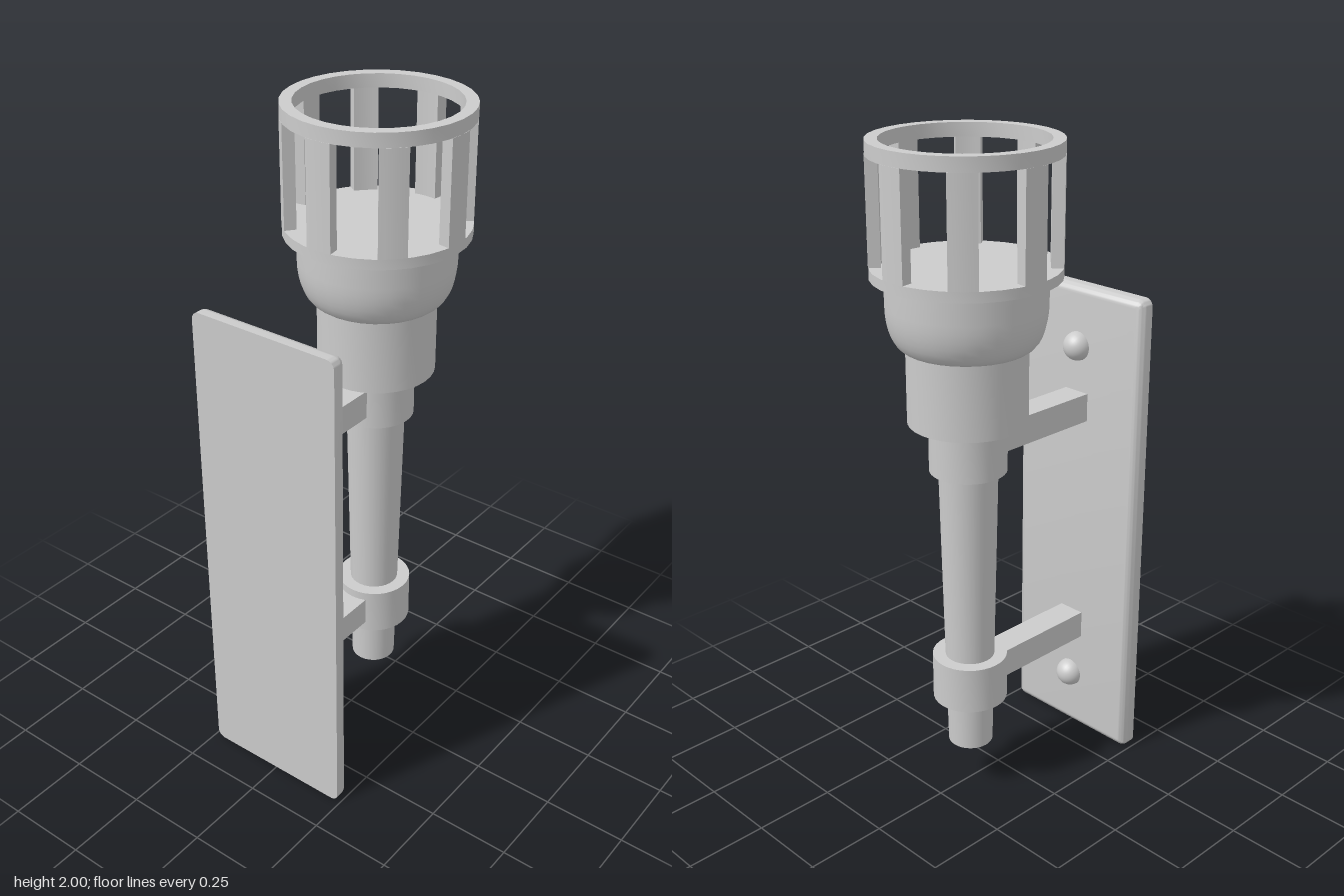
import * as THREE from 'three';
import { toCreasedNormals } from 'three/addons/utils/BufferGeometryUtils.js';
import { RoundedBoxGeometry } from 'three/addons/geometries/RoundedBoxGeometry.js';

const AXIS_Z = -0.12;   // torch axis
const SIDES = 32;
const material = new THREE.MeshStandardMaterial({ color: 0xcccccc });

export function createModel() {
  const model = new THREE.Group();
  const torch = new THREE.Group();
  torch.name = 'torch';
  torch.position.z = AXIS_Z;
  model.add(torch);

  const add = (parent, name, geometry, x = 0, y = 0, z = 0) => {
    const mesh = new THREE.Mesh(geometry, material);
    mesh.name = name;
    mesh.position.set(x, y, z);
    parent.add(mesh);
    return mesh;
  };

  // Turned part from [radius, y] points, listed bottom to top on the outside
  const turned = (name, points) => {
    const profile = points.map(([r, y]) => new THREE.Vector2(r, y));
    add(torch, name, toCreasedNormals(new THREE.LatheGeometry(profile, SIDES), 0.6));
  };
  const drum = (name, r0, y0, r1, y1) => turned(name, [[0, y0], [r0, y0], [r1, y1], [0, y1]]);

  // Handle, collars and socket
  drum('shaft', 0.068, 0.15, 0.09, 1.22);
  drum('lowerCollar', 0.113, 0.31, 0.113, 0.455);
  drum('upperCollar', 0.113, 1.06, 0.113, 1.22);
  drum('socket', 0.172, 1.21, 0.172, 1.44);

  // Bowl with rounded underside
  const bowl = [[0, 1.43], [0.172, 1.43]];
  for (let i = 1; i <= 8; i++) {
    const a = (i / 8) * Math.PI / 2;
    bowl.push([0.172 + 0.054 * Math.sin(a), 1.555 - 0.125 * Math.cos(a)]);
  }
  bowl.push([0.226, 1.64], [0, 1.64]);
  turned('bowl', bowl);

  // Cage: floor disc, top ring and eight bars between them
  const outer = 0.265, inner = 0.23;
  drum('cageFloor', outer, 1.63, outer, 1.66);
  turned('cageTopRing', [[inner, 1.96], [outer, 1.96], [outer, 2], [inner, 2], [inner, 1.96]]);

  const half = 0.15;
  const section = new THREE.Shape();
  section.absarc(0, 0, outer, -half, half, false);
  section.absarc(0, 0, inner, half, -half, true);
  section.closePath();
  const barGeometry = toCreasedNormals(
    new THREE.ExtrudeGeometry(section, { depth: 0.3, bevelEnabled: false, curveSegments: 2 }).rotateX(-Math.PI / 2), 0.6);
  for (let i = 0; i < 8; i++) {
    add(torch, 'cageBar', barGeometry, 0, 1.66, 0).rotation.y = i * Math.PI / 4;
  }

  // Wall plate: edges rounded towards the torch, flat and sharp on the wall face
  const plate = new RoundedBoxGeometry(0.48, 1.51, 0.1, 4, 0.025);
  const pos = plate.attributes.position;
  for (let i = 0; i < pos.count; i++) pos.setZ(i, Math.min(pos.getZ(i), 0));
  add(model, 'wallPlate', toCreasedNormals(plate, 0.6), 0, 0.755, 0.385);

  // Arms to the collars
  for (const y of [0.385, 1.138]) {
    add(model, 'arm', new THREE.BoxGeometry(0.088, 0.088, 0.4), 0, y, 0.14);
  }

  // Domed screw heads
  for (const y of [0.19, 1.325]) {
    const dome = new THREE.SphereGeometry(0.045, 24, 10, 0, Math.PI * 2, 0, Math.PI / 2).rotateX(-Math.PI / 2);
    add(model, 'screwHead', dome, 0, y, 0.335);
  }

  return model;
}
